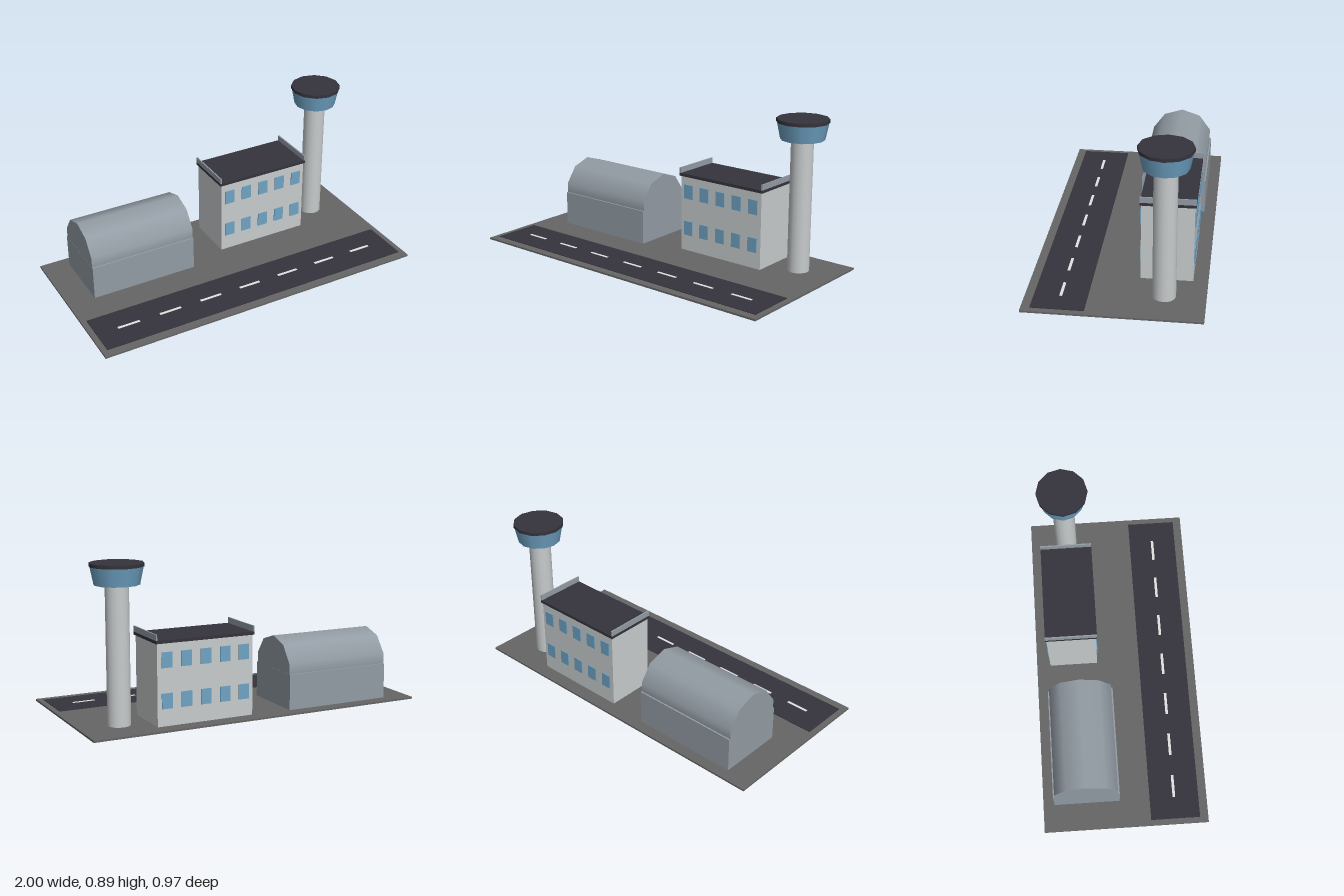
import * as THREE from 'three';

const mat = (name, color) => {
  const m = new THREE.MeshStandardMaterial({ color });
  m.name = name;
  return m;
};

export function createModel() {
  const concrete = mat('concrete', 0x666666);
  const asphalt = mat('asphalt', 0x35333b);
  const wall = mat('wall', 0xc8cccd);
  const metal = mat('metal', 0x939ca4);
  const glass = mat('glass', 0x6fa3c4);
  const paint = mat('paint', 0xe2e2e2);

  const airport = new THREE.Group();
  airport.name = 'airport';

  const group = (name) => {
    const g = new THREE.Group();
    g.name = name;
    airport.add(g);
    return g;
  };
  const add = (parent, name, geometry, material, x, y, z) => {
    const mesh = new THREE.Mesh(geometry, material);
    mesh.name = name;
    mesh.position.set(x, y, z);
    parent.add(mesh);
    return mesh;
  };
  // Box standing on y0 and reaching y1
  const box = (parent, name, material, w, d, y0, y1, x, z) =>
    add(parent, name, new THREE.BoxGeometry(w, y1 - y0, d), material, x, (y0 + y1) / 2, z);
  // Upright cylinder or cone from y0 to y1
  const drum = (parent, name, material, rTop, rBottom, sides, y0, y1, x, z) =>
    add(parent, name, new THREE.CylinderGeometry(rTop, rBottom, y1 - y0, sides), material, x, (y0 + y1) / 2, z);

  // Ground slab
  box(airport, 'ground', concrete, 2, 0.97, 0, 0.011, 0, 0);

  // Runway with dashed centre line
  const runway = group('runway');
  box(runway, 'runwaySurface', asphalt, 1.935, 0.29, 0.011, 0.014, 0, 0.291);
  for (let i = -3; i <= 3; i++) {
    box(runway, 'centreDash', paint, 0.133, 0.016, 0.014, 0.016, i * 0.258, 0.291);
  }

  // Hangar: box with a ten-sided barrel roof sunk into it
  const hangar = group('hangar');
  box(hangar, 'hangarWalls', metal, 0.642, 0.386, 0.011, 0.216, -0.519, -0.225);
  const barrel = new THREE.CylinderGeometry(0.193, 0.193, 0.641, 10, 1, false, Math.PI / 2);
  barrel.rotateZ(Math.PI / 2);
  add(hangar, 'hangarRoof', barrel, metal, -0.519, 0.216, -0.225);

  // Terminal building
  const terminal = group('terminal');
  const tx = 0.321, tz = -0.258;
  box(terminal, 'terminalWalls', wall, 0.573, 0.29, 0.011, 0.465, tx, tz);
  box(terminal, 'terminalRoof', asphalt, 0.59, 0.304, 0.465, 0.482, tx, tz);
  for (const side of [-1, 1]) {
    // End parapets, then two rows of windows on each long face
    box(terminal, 'parapet', metal, 0.008, 0.304, 0.482, 0.515, tx + side * 0.291, tz);
    for (const y of [0.108, 0.332]) {
      for (let i = -2; i <= 2; i++) {
        box(terminal, 'window', glass, 0.062, 0.008, y, y + 0.085, tx + i * 0.1155, tz + side * 0.147);
      }
    }
  }

  // Control tower
  const tower = group('controlTower');
  drum(tower, 'towerShaft', wall, 0.064, 0.064, 16, 0.011, 0.774, 0.77, -0.258);
  drum(tower, 'towerCab', glass, 0.144, 0.124, 12, 0.774, 0.871, 0.77, -0.258);
  drum(tower, 'towerRoof', asphalt, 0.148, 0.148, 12, 0.871, 0.89, 0.77, -0.258);

  return airport;
}
